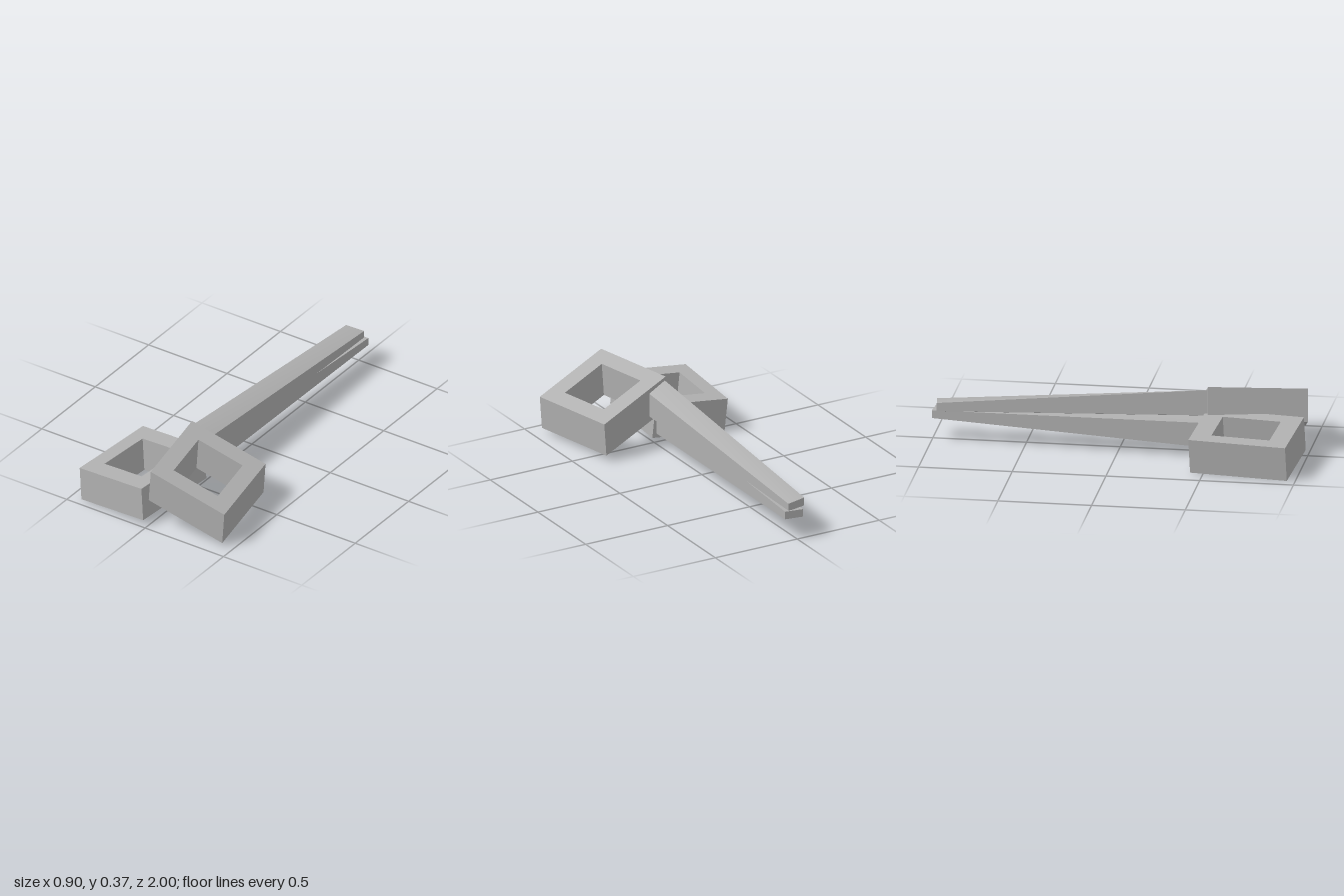
import * as THREE from 'three';

const V = (a) => new THREE.Vector3(...a);

// Square finger loop: a unit frame sheared onto a corner and three edge vectors.
function makeLoop(name, corner, across, back, up, material) {
  const shape = new THREE.Shape([[0, 0], [1, 0], [1, 1], [0, 1]].map((p) => new THREE.Vector2(...p)));
  const a = 0.2, b = 0.8;
  shape.holes.push(new THREE.Path([[a, a], [a, b], [b, b], [b, a]].map((p) => new THREE.Vector2(...p))));
  const geometry = new THREE.ExtrudeGeometry(shape, { depth: 1, bevelEnabled: false });
  const matrix = new THREE.Matrix4().makeBasis(V(across), V(back), V(up)).setPosition(V(corner));
  geometry.applyMatrix4(matrix);
  geometry.computeVertexNormals();
  const mesh = new THREE.Mesh(geometry, material);
  mesh.name = name;
  return mesh;
}

// Tapered blade: a box whose ends are moved to two quads,
// each listed as bottom -x, bottom +x, top -x, top +x.
function makeBlade(name, base, tip, material) {
  const box = new THREE.BoxGeometry(1, 1, 1);
  const pos = box.attributes.position;
  for (let i = 0; i < pos.count; i++) {
    const index = (pos.getX(i) > 0 ? 1 : 0) + (pos.getY(i) > 0 ? 2 : 0);
    pos.setXYZ(i, ...(pos.getZ(i) > 0 ? base : tip)[index]);
  }
  box.computeVertexNormals();
  const mesh = new THREE.Mesh(box, material);
  mesh.name = name;
  return mesh;
}

export function createModel() {
  const group = new THREE.Group();
  group.name = 'scissors';
  const steel = new THREE.MeshStandardMaterial({ color: 0xb0b0b0 });
  steel.name = 'grey steel';

  // Finger loops, from the bottom front -x corner
  group.add(makeLoop('leftLoop', [0.021, 0.181, 0.997],
    [0.418, -0.158, -0.075], [-0.091, 0.013, -0.52], [0.013, 0.181, 0], steel));
  group.add(makeLoop('rightLoop', [-0.437, 0.001, 0.955],
    [0.419, 0.038, 0.037], [0.047, 0.005, -0.523], [-0.016, 0.186, -0.007], steel));

  // Upper and lower blades, which cross slightly along their length
  group.add(makeBlade('upperBlade',
    [[-0.05, 0.215, 0.474], [0.055, 0.178, 0.456], [-0.05, 0.355, 0.474], [0.055, 0.308, 0.456]],
    [[-0.06, 0.17, -0.97], [0.045, 0.165, -0.985], [-0.06, 0.215, -0.97], [0.045, 0.207, -0.985]], steel));
  group.add(makeBlade('lowerBlade',
    [[-0.105, 0.055, 0.455], [0.005, 0.065, 0.465], [-0.105, 0.19, 0.455], [0.005, 0.2, 0.465]],
    [[-0.035, 0.122, -1], [0.068, 0.125, -0.99], [-0.035, 0.165, -1], [0.068, 0.168, -0.99]], steel));

  return group;
}
